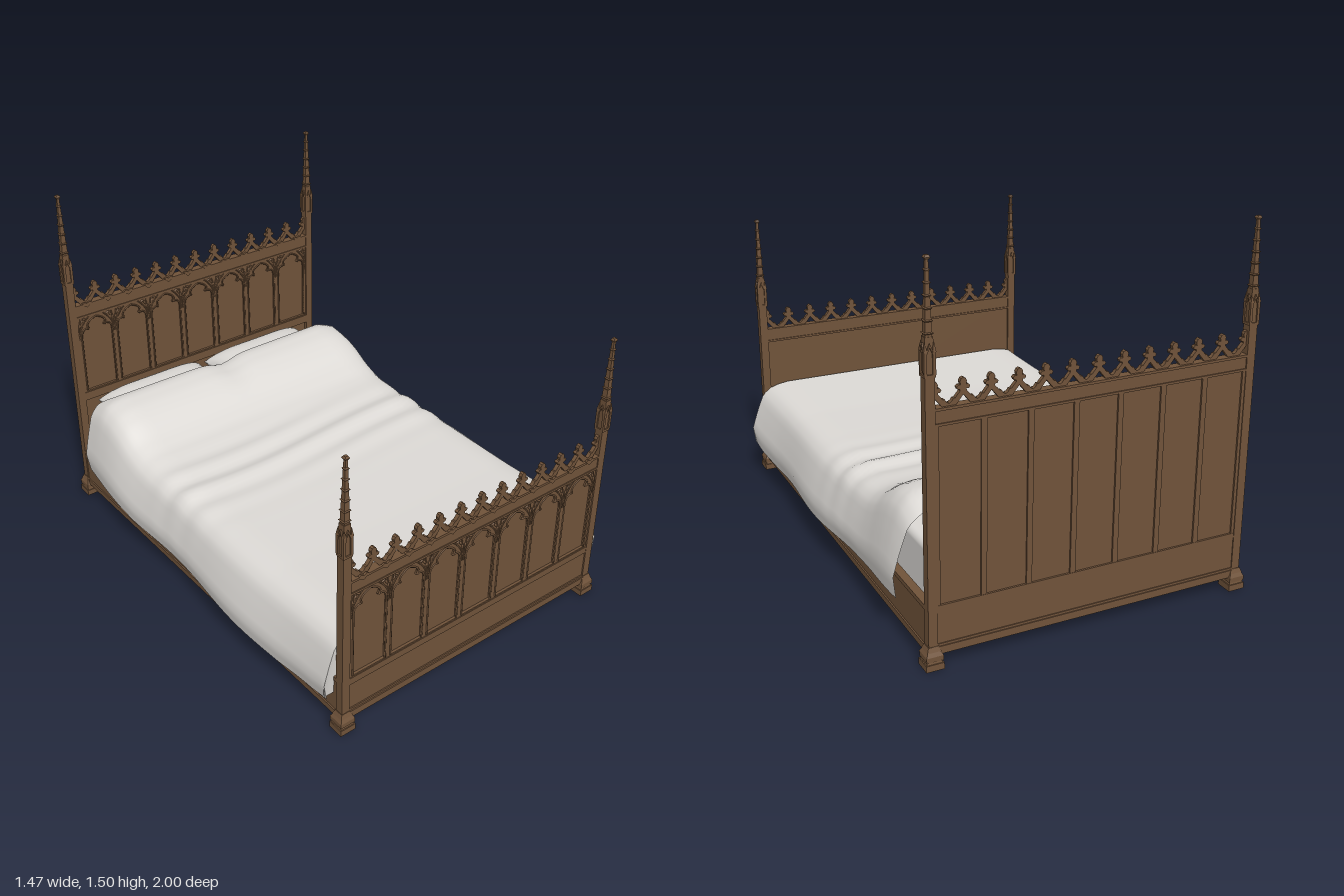
import * as THREE from 'three';
import { toCreasedNormals } from 'three/addons/utils/BufferGeometryUtils.js';
import { RoundedBoxGeometry } from 'three/addons/geometries/RoundedBoxGeometry.js';

const wood = new THREE.MeshStandardMaterial({ color: 0x70533a });
wood.name = 'carved wood';
const linen = new THREE.MeshStandardMaterial({ color: 0xdcd9d5, side: THREE.DoubleSide });
linen.name = 'linen';

const BAYS = 7, BAY = 0.18, CREST = 0.105, HALF_W = 0.63, POST_X = 0.65, END_Z = 0.965;
const V2 = (x, y) => new THREE.Vector2(x, y);

function add(parent, name, geo, x = 0, y = 0, z = 0, mat = wood) {
  const mesh = new THREE.Mesh(geo, mat);
  mesh.name = name;
  mesh.position.set(x, y, z);
  parent.add(mesh);
  return mesh;
}

// Box given by its width, bottom, top and depth range
function slab(parent, name, w, y0, y1, z0, z1, x = 0) {
  return add(parent, name, new THREE.BoxGeometry(w, y1 - y0, z1 - z0), x, (y0 + y1) / 2, (z0 + z1) / 2);
}

const extrude = (shape, depth) => new THREE.ExtrudeGeometry(shape, { depth, bevelEnabled: false, curveSegments: 6 });

// Straight-line interpolation through [position, value] pairs
function interp(pairs, t) {
  for (let i = 1; i < pairs.length; i++) {
    const [a, va] = pairs[i - 1], [b, vb] = pairs[i];
    if (t <= b) return va + (vb - va) * Math.max(0, (t - a) / (b - a));
  }
  return pairs[pairs.length - 1][1];
}

// Trefoil-headed outline of one opening; y = 0 is the springing line
function archPath(path, bottom) {
  path.moveTo(-0.077, bottom);
  path.lineTo(-0.077, 0);
  path.bezierCurveTo(-0.077, 0.03, -0.06, 0.05, -0.036, 0.036);
  path.bezierCurveTo(-0.062, 0.06, -0.028, 0.08, 0, 0.09);
  path.bezierCurveTo(0.028, 0.08, 0.062, 0.06, 0.036, 0.036);
  path.bezierCurveTo(0.06, 0.05, 0.077, 0.03, 0.077, 0);
  path.lineTo(0.077, bottom);
  return path;
}

// Arcade of cusped arches with edge mouldings and leafy spandrels
function arcade(parent, panelY, topY, z) {
  const spring = topY - 0.103, bottom = panelY - spring;
  const plate = new THREE.Shape([V2(-BAY / 2, bottom), V2(BAY / 2, bottom), V2(BAY / 2, 0.103), V2(-BAY / 2, 0.103)]);
  plate.holes.push(archPath(new THREE.Path(), bottom + 0.006));
  const plateGeo = extrude(plate, 0.011);

  const edge = archPath(new THREE.Path(), bottom + 0.006).getPoints(6).map(p => new THREE.Vector3(p.x, p.y, 0));
  const edgeGeo = new THREE.TubeGeometry(new THREE.CatmullRomCurve3(edge, false, 'catmullrom', 0.1), 90, 0.004, 5);

  const rib = pts => new THREE.TubeGeometry(new THREE.CatmullRomCurve3(pts.map(p => new THREE.Vector3(p[0], p[1], 0))), 10, 0.003, 5);
  const leaf = new THREE.SphereGeometry(1, 8, 6);

  for (let i = 0; i < BAYS; i++) {
    const bay = new THREE.Group();
    bay.name = 'arch bay';
    bay.position.set((i - (BAYS - 1) / 2) * BAY, spring, z);
    parent.add(bay);
    add(bay, 'tracery plate', plateGeo);
    add(bay, 'arch moulding', edgeGeo, 0, 0, 0.011);
    for (const s of [-1, 1]) {
      add(bay, 'spandrel rib', rib([[s * 0.086, -0.01], [s * 0.08, 0.035], [s * 0.06, 0.07], [s * 0.035, 0.097]]), 0, 0, 0.011);
      add(bay, 'spandrel stem', rib([[s * 0.086, 0], [s * 0.087, 0.04], [s * 0.076, 0.096]]), 0, 0, 0.011);
      for (const [x, y, turn] of [[0.072, 0.078, -0.5], [0.058, 0.09, 1.1], [0.082, 0.06, 0.2]]) {
        const m = add(bay, 'spandrel leaf', leaf, s * x, y, 0.011);
        m.scale.set(0.005, 0.011, 0.005);
        m.rotation.z = -s * turn;
      }
    }
  }
}

// Row of pierced finials along a top rail
function cresting(parent, y, z) {
  const half = [[0.026, 0], [0.0525, 0], [0.0525, 0.008], [0.043, 0.014], [0.037, 0.024], [0.03, 0.024], [0.022, 0.034],
    [0.012, 0.045], [0.012, 0.051], [0.021, 0.051], [0.025, 0.06], [0.018, 0.067], [0.01, 0.066], [0.013, 0.078],
    [0.008, 0.088], [0, 0.092], [0, 0.032]];
  const boss = extrude(new THREE.Shape([[-0.022, 0.004], [-0.015, -0.007], [0, -0.018], [0.015, -0.007], [0.022, 0.004],
    [0.012, 0.008], [0, 0.002], [-0.012, 0.008]].map(p => V2(...p))), 0.008);
  for (const s of [-1, 1]) {
    const geo = extrude(new THREE.Shape(half.map(p => V2(s * p[0], p[1]))), 0.016);
    for (let i = -6; i <= 6; i++) if (i * s < 6) add(parent, 'crest finial', geo, i * CREST, y, z - 0.008);
  }
  for (let i = 0; i < 12; i++) add(parent, 'crest pendant', boss, (i - 5.5) * CREST, y, z + 0.012);
}

// Head or foot panel with rails, arcade and cresting
function endBoard(name, z, topY, panelY, isHead) {
  const g = new THREE.Group();
  g.name = name;
  g.position.z = z;
  const W = HALF_W * 2 + 0.01;
  slab(g, 'back panel', W, 0.06, topY - 0.02, -0.008, 0.002);
  slab(g, 'lower board', W, 0.06, 0.22, -0.014, 0.012);
  slab(g, 'base moulding', W, 0.055, 0.085, -0.022, 0.022);
  slab(g, 'base bead', W, 0.085, 0.094, -0.018, 0.017);
  slab(g, 'lower rail', W, 0.215, 0.245, -0.016, 0.017);
  if (isHead) slab(g, 'middle rail', W, panelY - 0.04, panelY, 0, 0.017);
  slab(g, 'top rail', W, topY - 0.06, topY, -0.013, 0.014);
  slab(g, 'top rail lower bead', W, topY - 0.064, topY - 0.055, -0.018, 0.018);
  slab(g, 'top rail cap', W, topY - 0.01, topY, -0.018, 0.018);
  arcade(g, panelY, topY - 0.06, 0.002);
  cresting(g, topY, 0);
  if (isHead) {
    for (let i = 0; i <= BAYS; i++) slab(g, 'rear mullion', 0.022, 0.24, topY - 0.06, -0.015, 0, (i - BAYS / 2) * BAY);
  }
  return g;
}

// Square post with stepped foot and crocketed pinnacle
function post(name, x, z, shaftTop) {
  const g = new THREE.Group();
  g.name = name;
  g.position.set(x, 0, z);
  const square = (part, w0, w1, y0, y1, px = 0, pz = 0) => {
    const geo = new THREE.CylinderGeometry(w1 * Math.SQRT1_2, w0 * Math.SQRT1_2, y1 - y0, 4).toNonIndexed();
    geo.rotateY(Math.PI / 4);
    geo.computeVertexNormals();
    return add(g, part, geo, px, (y0 + y1) / 2, pz);
  };
  square('foot plinth', 0.07, 0.07, 0, 0.026);
  square('foot neck', 0.062, 0.058, 0.026, 0.036);
  square('foot torus', 0.066, 0.066, 0.036, 0.055);
  square('foot slope', 0.066, 0.05, 0.055, 0.07);
  square('foot collar', 0.054, 0.04, 0.07, 0.088);
  square('shaft', 0.036, 0.036, 0.08, shaftTop);
  square('pinnacle core', 0.032, 0.03, shaftTop, shaftTop + 0.13);
  square('pinnacle ledge', 0.042, 0.042, shaftTop - 0.008, shaftTop + 0.002);
  for (const sx of [-1, 1]) for (const sz of [-1, 1]) {
    square('corner buttress', 0.011, 0.011, shaftTop, shaftTop + 0.08, sx * 0.016, sz * 0.016);
    square('corner spirelet', 0.013, 0.001, shaftTop + 0.08, shaftTop + 0.115, sx * 0.016, sz * 0.016);
  }
  const gable = extrude(new THREE.Shape([V2(-0.017, 0), V2(0, 0.04), V2(0.017, 0), V2(0.011, 0), V2(0, 0.026), V2(-0.011, 0)]), 0.006);
  for (let i = 0; i < 4; i++) {
    const a = i * Math.PI / 2;
    add(g, 'gablet', gable, Math.sin(a) * 0.015, shaftTop + 0.07, Math.cos(a) * 0.015).rotation.y = a;
  }
  square('spire', 0.026, 0.01, shaftTop + 0.12, shaftTop + 0.39);
  for (let k = 0; k < 6; k++) {
    const y = shaftTop + 0.135 + k * 0.042, w = 0.034 - k * 0.0028;
    square('crocket', w * 0.6, w, y, y + 0.007);
    square('crocket tip', w, w * 0.5, y + 0.007, y + 0.012);
  }
  square('finial', 0.009, 0.021, shaftTop + 0.382, shaftTop + 0.392);
  square('finial cap', 0.021, 0.012, shaftTop + 0.392, shaftTop + 0.4);
  return g;
}

// Surface from a grid of points; point(i, j) returns [x, y, z]
function gridGeometry(cols, rows, point) {
  const pos = [], idx = [];
  for (let j = 0; j <= rows; j++) for (let i = 0; i <= cols; i++) pos.push(...point(i, j));
  for (let j = 0; j < rows; j++) for (let i = 0; i < cols; i++) {
    const a = j * (cols + 1) + i, b = a + cols + 1;
    idx.push(a, b, a + 1, b, b + 1, a + 1);
  }
  const geo = new THREE.BufferGeometry();
  geo.setAttribute('position', new THREE.Float32BufferAttribute(pos, 3));
  geo.setIndex(idx);
  geo.computeVertexNormals();
  return toCreasedNormals(geo, 0.9);
}

// Draped cover, swept from head to foot, with folds and a closed foot end
function blanketGeometry() {
  const top = [[-0.84, 0.55], [-0.78, 0.575], [-0.74, 0.588], [-0.65, 0.575], [-0.58, 0.545], [-0.5, 0.495], [-0.42, 0.462],
    [-0.3, 0.445], [-0.1, 0.44], [0.1, 0.43], [0.5, 0.425], [0.94, 0.432]];
  const hem = [[-0.84, 0.22], [-0.4, 0.165], [0, 0.145], [0.65, 0.12], [0.85, 0.135], [0.94, 0.155]];
  const across = [[0, 0], [0.5, 0.55], [0.58, 0.6], [0.65, 0.637], [0.74, 0.672], [0.84, 0.7], [0.93, 0.725], [1, 0.712]];
  const fall = [[0, 1], [0.5, 1], [0.58, 0.975], [0.65, 0.93], [0.74, 0.82], [0.84, 0.55], [0.93, 0.25], [1, 0]];
  const cols = 56, rows = 72;
  return gridGeometry(cols, rows, (i, j) => {
    const u = (i / cols) * 2 - 1, s = Math.sign(u), t = Math.abs(u);
    const v = Math.min(1, j / (rows - 1));
    const head = interp([[0, -0.775], [0.5, -0.785], [0.62, -0.84], [1, -0.825]], t);
    const z = head + (0.94 - head) * v;
    let x = s * interp(across, t);
    const f = interp(fall, t), h = interp(hem, z);
    // rumpled folds across the middle, a dip between the pillows
    const rumple = Math.exp(-(((z + 0.14) / 0.17) ** 2)) * 0.01 * Math.sin(z * 42 + 3 * x * x + 1.2 * Math.sin(x * 4));
    const dip = 0.025 * Math.exp(-((x / 0.07) ** 2)) * THREE.MathUtils.smoothstep(-z, 0.5, 0.75);
    let y = h + f * (interp(top, z) - h) + f * (rumple - dip);
    if (t > 0.6) x += s * (t - 0.6) * 0.03 * Math.sin(z * 7 + s);
    if (j === rows) return [x * 0.99, h, 0.925];
    return [x, y, z];
  });
}

// Cushion with pinched corners; side is +1 for the upper half
function pillowHalf(side) {
  const n = 20;
  return gridGeometry(n, n, (i, j) => {
    const u = Math.sin(((i / n) * 2 - 1) * Math.PI / 2) * side, v = Math.sin(((j / n) * 2 - 1) * Math.PI / 2);
    const h = Math.sqrt(Math.max(0, (1 - u ** 4) * (1 - v ** 4)));
    return [u * 0.275 * (1 - 0.1 * (1 - v * v)), side * 0.08 * h, v * 0.18 * (1 - 0.08 * (1 - u * u))];
  });
}

export function createModel() {
  const bed = new THREE.Group();
  bed.name = 'bed';

  bed.add(endBoard('footboard', END_Z, 0.7, 0.245, false));
  bed.add(endBoard('headboard', -END_Z, 0.98, 0.54, true));

  for (const s of [-1, 1]) {
    const side = s > 0 ? 'left' : 'right';
    bed.add(post(side + ' foot post', s * POST_X, END_Z, 0.82));
    bed.add(post(side + ' head post', s * POST_X, -END_Z, 1.1));
    slab(bed, side + ' side rail', 0.026, 0.06, 0.235, -0.95, 0.95, s * POST_X);
    slab(bed, side + ' rail base moulding', 0.038, 0.055, 0.08, -0.95, 0.95, s * POST_X);
    slab(bed, side + ' rail top moulding', 0.034, 0.222, 0.24, -0.95, 0.95, s * POST_X);
  }
  slab(bed, 'bottom board', 1.29, 0.058, 0.07, -0.955, 0.955);

  add(bed, 'mattress', new RoundedBoxGeometry(1.23, 0.34, 1.87, 3, 0.03), 0, 0.245, -0.007, linen);
  add(bed, 'blanket', blanketGeometry(), 0, 0, 0, linen);
  for (const x of [-0.3, 0.28]) {
    for (const s of [1, -1]) add(bed, 'pillow', pillowHalf(s), x, 0.485, -0.762, linen);
  }
  return bed;
}
